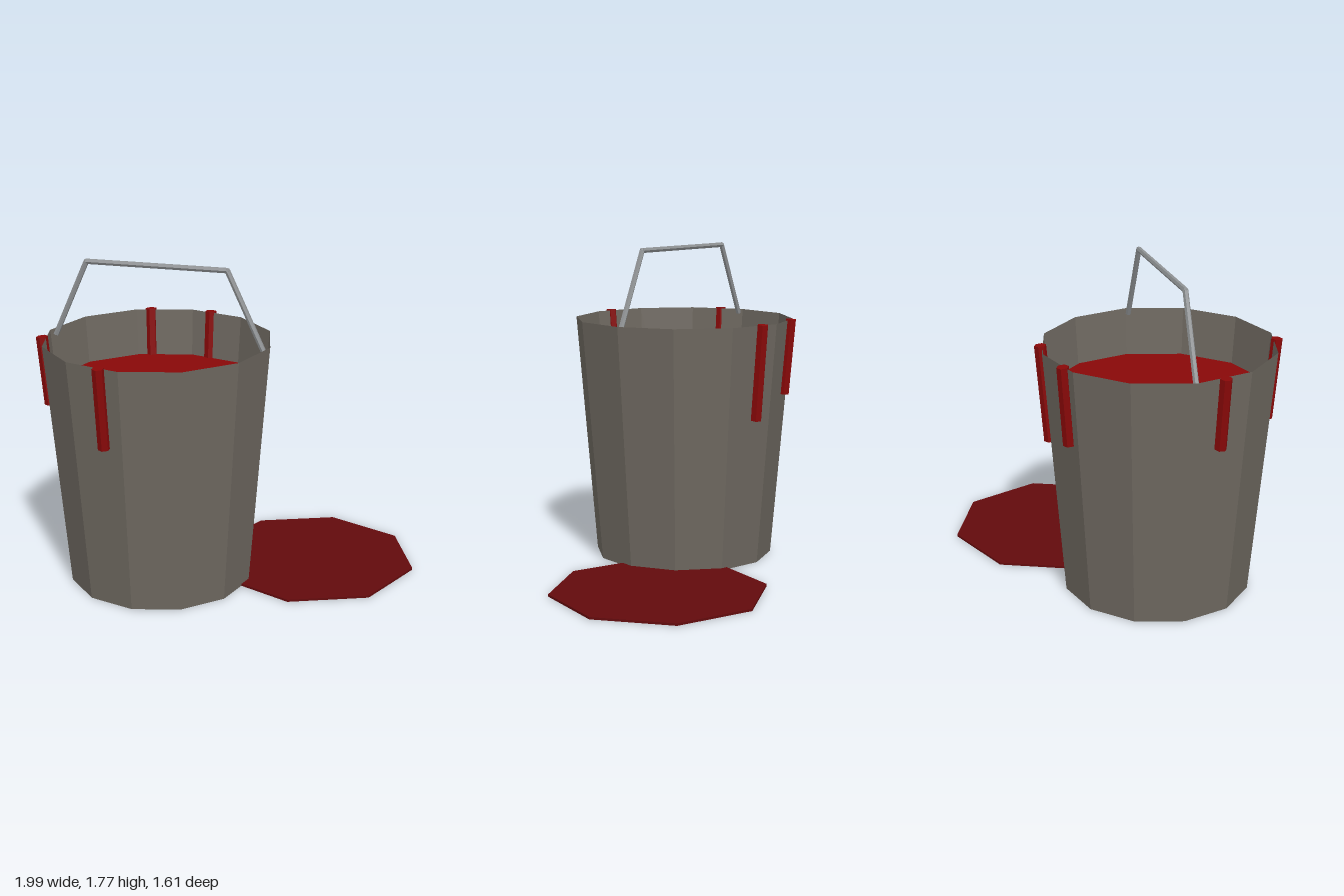
import * as THREE from 'three';

const mat = (name, color, side = THREE.FrontSide) => {
  const m = new THREE.MeshStandardMaterial({ color, flatShading: true, side });
  m.name = name;
  return m;
};

export function createModel() {
  const model = new THREE.Group();
  model.name = 'paintBucket';
  const metal = mat('bucketMetal', 0x6e6860, THREE.DoubleSide);
  const steel = mat('handleSteel', 0x8f9294);
  const paint = mat('redPaint', 0x880808);
  const spill = mat('darkSpill', 0x620a0c);

  const add = (parent, name, geometry, material, x = 0, y = 0, z = 0) => {
    const mesh = new THREE.Mesh(geometry, material);
    mesh.name = name;
    mesh.position.set(x, y, z);
    parent.add(mesh);
    return mesh;
  };

  // Straight faceted rod between two points
  const rod = (parent, name, a, b, radius, material) => {
    const dir = b.clone().sub(a);
    const mesh = add(parent, name, new THREE.CylinderGeometry(radius, radius, dir.length(), 6), material);
    mesh.position.copy(a).add(b).multiplyScalar(0.5);
    mesh.quaternion.setFromUnitVectors(new THREE.Vector3(0, 1, 0), dir.normalize());
    return mesh;
  };

  const bucket = new THREE.Group();
  bucket.name = 'bucket';
  bucket.position.set(-0.365, 0, 0.16);
  model.add(bucket);

  // Open tapered wall with a closed base
  const H = 1.36, rTop = 0.62, rBase = 0.507;
  add(bucket, 'wall', new THREE.CylinderGeometry(rTop, rBase, H, 12, 1, true), metal, 0, H / 2, 0);
  add(bucket, 'base', new THREE.CircleGeometry(rBase, 12).rotateX(Math.PI / 2), metal, 0, 0.002, 0);

  // Paint inside
  add(bucket, 'paintSurface', new THREE.CylinderGeometry(0.592, 0.588, 0.02, 12), paint, 0, 1.09, 0);

  // Drips leaning with the wall: top x, top z, lower end height
  const slope = (rTop - rBase) / H;
  [[-0.108, 0.61, 0.925], [-0.605, 0.15, 0.985], [-0.235, -0.57, 0.94], [0.115, -0.603, 0.835]]
    .forEach(([x, z, low]) => {
      const top = new THREE.Vector3(x, 1.365, z);
      const k = 1 - slope * (1.365 - low) / Math.hypot(x, z);
      rod(bucket, 'drip', new THREE.Vector3(x * k, low, z * k), top, 0.032, paint);
    });

  // Bent wire handle
  const pts = [[-0.583, 1.34], [-0.393, 1.757], [0.388, 1.757], [0.583, 1.34]]
    .map(([x, y]) => new THREE.Vector3(x, y, 0.005));
  for (let i = 0; i < 3; i++) rod(bucket, 'handleBar', pts[i], pts[i + 1], 0.015, steel);
  for (const p of [pts[1], pts[2]]) {
    add(bucket, 'handleCorner', new THREE.SphereGeometry(0.015, 6, 4), steel, p.x, p.y, p.z);
  }

  // Octagonal puddle on the floor
  add(model, 'puddle', new THREE.CylinderGeometry(0.583, 0.583, 0.012, 8), spill, 0.413, 0.006, -0.228);

  return model;
}
